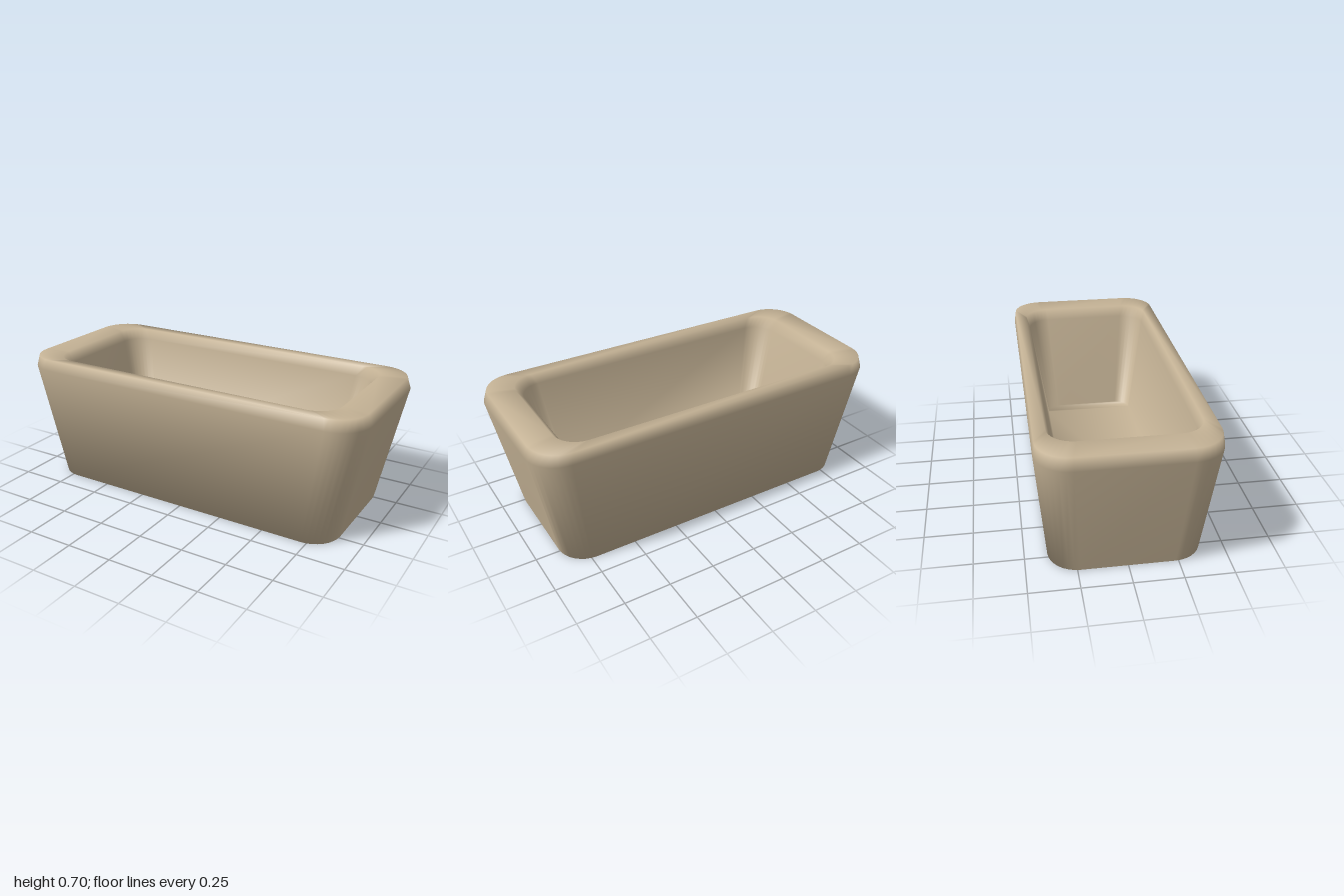
import * as THREE from 'three';

const CORNER_STEPS = 8;

// Rounded rectangle ring at height y, with half sizes hx, hz and corner radius r
function ring([hx, hz, y, r]) {
  const points = [];
  for (let corner = 0; corner < 4; corner++) {
    const sx = corner === 0 || corner === 3 ? 1 : -1;
    const sz = corner < 2 ? 1 : -1;
    for (let k = 0; k <= CORNER_STEPS; k++) {
      const a = (corner + k / CORNER_STEPS) * Math.PI / 2;
      points.push(sx * (hx - r) + r * Math.cos(a), y, sz * (hz - r) + r * Math.sin(a));
    }
  }
  return points;
}

// Smooth closed shell lofted through the rings, capped at both ends
function loft(sections) {
  const n = 4 * (CORNER_STEPS + 1);
  const index = [];
  for (let i = 0; i < sections.length - 1; i++) {
    for (let j = 0; j < n; j++) {
      const a = i * n + j, b = i * n + (j + 1) % n;
      index.push(a, a + n, b, b, a + n, b + n);
    }
  }
  const last = (sections.length - 1) * n;
  for (let lo = 0, hi = n - 1; hi - lo > 1;) {
    const low = lo, high = hi;
    const mid = (lo + n - 1 - hi) % 2 ? --hi : ++lo;
    index.push(low, mid, high);
    index.push(last + low, last + high, last + mid);
  }
  const geometry = new THREE.BufferGeometry();
  geometry.setAttribute('position', new THREE.Float32BufferAttribute(sections.flatMap(ring), 3));
  geometry.setIndex(index);
  geometry.computeVertexNormals();
  return geometry;
}

export function createModel() {
  const group = new THREE.Group();
  group.name = 'bathtub';
  const stone = new THREE.MeshStandardMaterial({ color: 0xc4b295 });
  stone.name = 'warm beige';

  // Tub: outer wall, bevelled rim, inner wall and floor
  const tub = new THREE.Mesh(loft([
    [0.87, 0.385, 0, 0.15],
    [1.0, 0.44, 0.645, 0.17],
    [0.98, 0.431, 0.705, 0.16],
    [0.84, 0.37, 0.703, 0.13],
    [0.8, 0.35, 0.65, 0.12],
    [0.67, 0.26, 0.1, 0.08],
  ]), stone);
  tub.name = 'tub';
  group.add(tub);

  // Drain plug on the floor
  const drain = new THREE.Mesh(new THREE.CylinderGeometry(0.032, 0.032, 0.01, 24), stone);
  drain.name = 'drain';
  drain.position.set(0, 0.104, -0.215);
  group.add(drain);

  return group;
}
